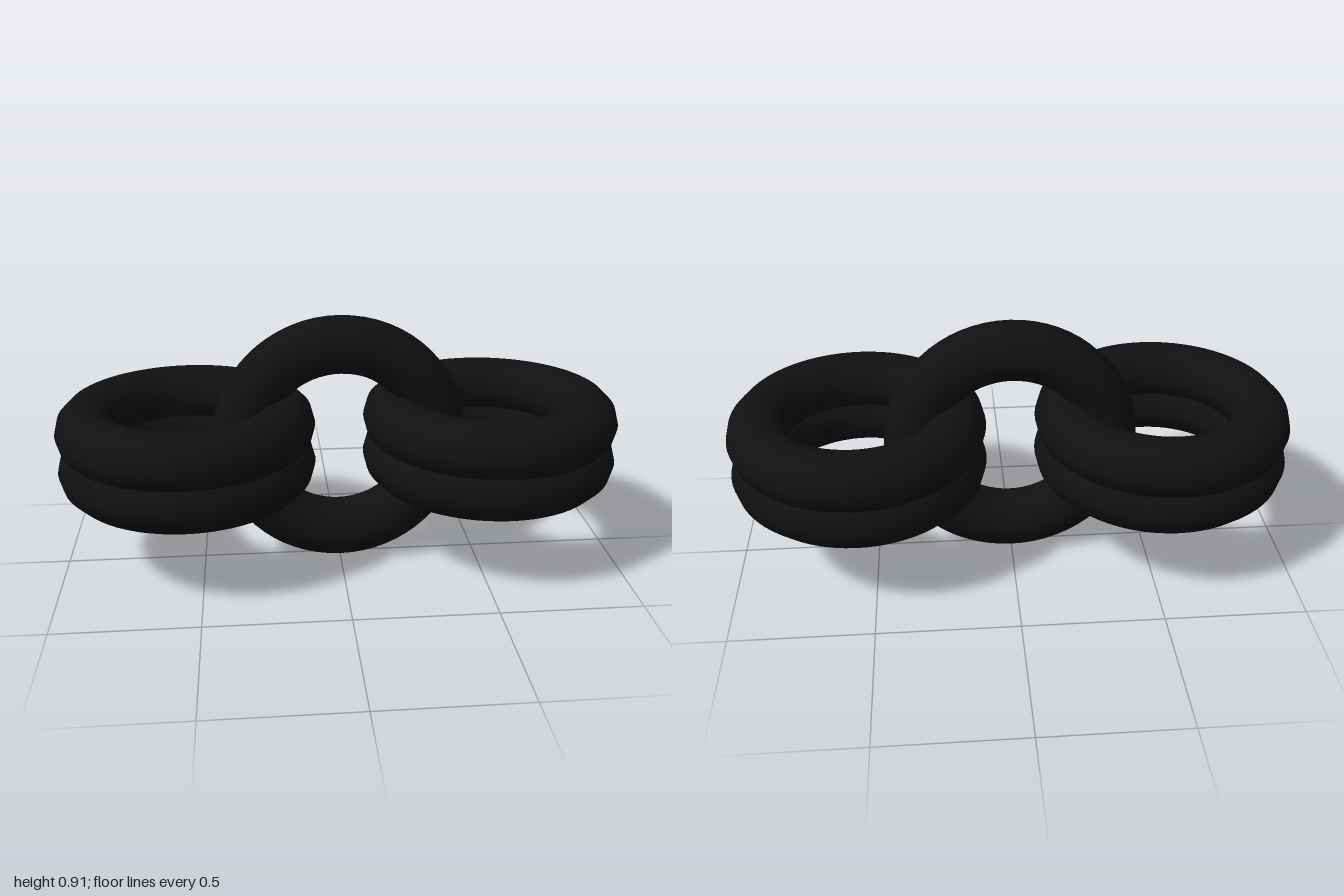
import * as THREE from 'three';

const RING = 0.351; // radius of the ring's centre line
const TUBE = 0.105; // thickness radius
const MID = RING + TUBE; // height of the chain's centre

export function createModel() {
  const group = new THREE.Group();
  const material = new THREE.MeshStandardMaterial({ color: 0x111111 });
  const ring = new THREE.TorusGeometry(RING, TUBE, 12, 64);
  const flatRing = ring.clone().rotateX(Math.PI / 2);

  const add = (name, geometry, x, y) => {
    const mesh = new THREE.Mesh(geometry, material);
    mesh.name = name;
    mesh.position.set(x, y, 0);
    group.add(mesh);
  };

  // upright link joining the two sides
  add('centreLink', ring, 0, MID);

  // stacked pair of flat links on each side
  for (const [side, s] of [['left', 1], ['right', -1]]) {
    add(side + 'UpperLink', flatRing, s * 0.544, MID + 0.07);
    add(side + 'LowerLink', flatRing, s * 0.544, MID - 0.07);
  }
  return group;
}
